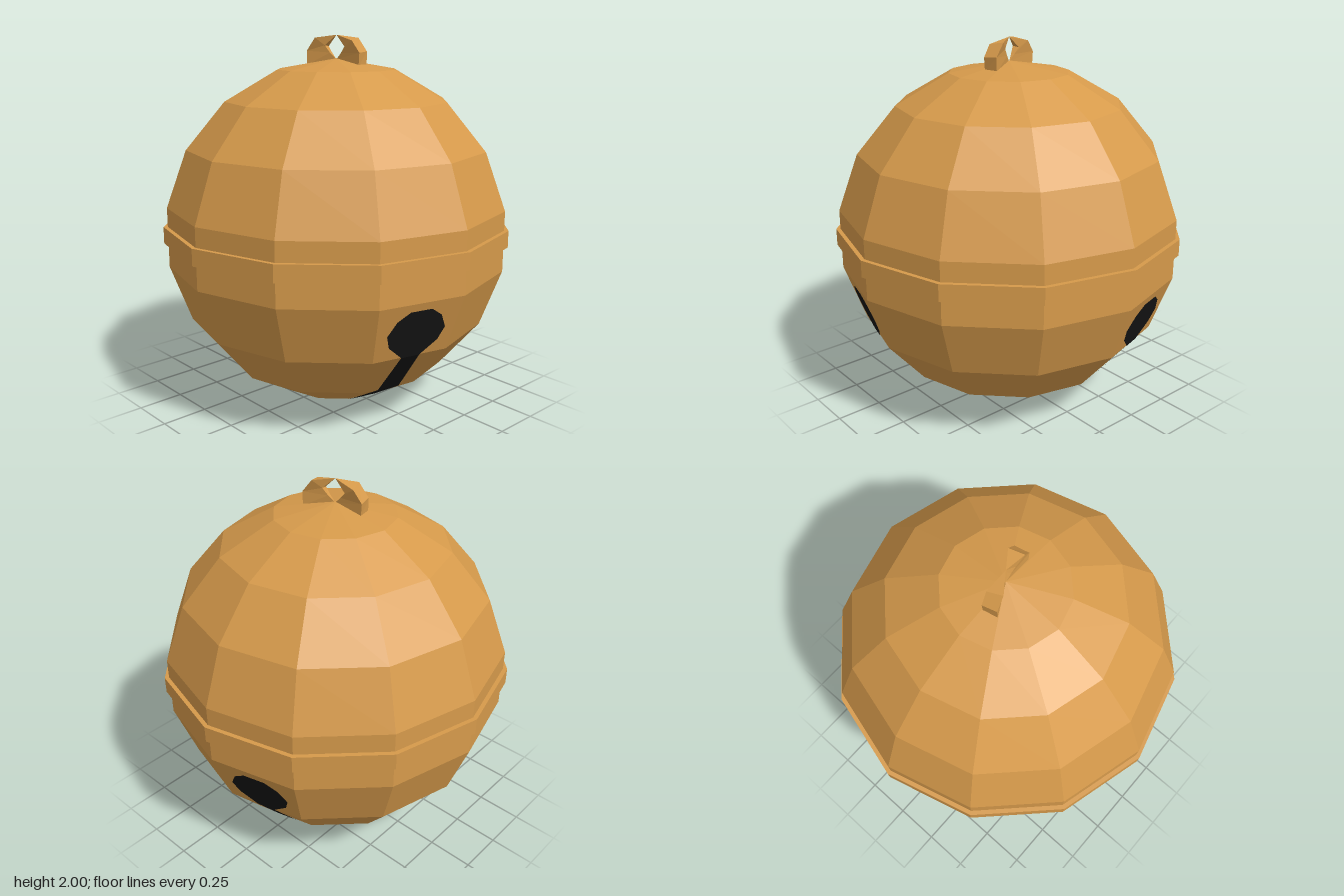
import * as THREE from 'three';

const R = 0.9375, CY = 0.9403, SIDES = 12, RINGS = 9;

// Flat-shaded skin through rows of points; "closed" joins each row's ends.
function skin(rows, closed) {
  const pos = [];
  for (let i = 0; i < rows.length - 1; i++) {
    const n = rows[i].length;
    for (let j = 0; j < (closed ? n : n - 1); j++) {
      const k = (j + 1) % n;
      const a = rows[i][j], b = rows[i][k], c = rows[i + 1][k], d = rows[i + 1][j];
      pos.push(...a, ...b, ...c, ...a, ...c, ...d);
    }
  }
  const g = new THREE.BufferGeometry();
  g.setAttribute('position', new THREE.Float32BufferAttribute(pos, 3));
  g.computeVertexNormals();
  return g;
}

function faceted(geometry) {
  const g = geometry.toNonIndexed();
  g.computeVertexNormals();
  return g;
}

// Height and radius of the k-th body ring counted from the bottom pole, about the centre.
const ring = (k) => {
  const t = (k * Math.PI) / RINGS;
  return [-R * Math.cos(t), R * Math.sin(t)];
};

// Distance from the axis to the middle of a body facet at height y.
function facetDistance(y) {
  let k = 0;
  while (k < RINGS - 1 && ring(k + 1)[0] < y) k++;
  const [y0, r0] = ring(k), [y1, r1] = ring(k + 1);
  return (r0 + ((r1 - r0) * (y - y0)) / (y1 - y0)) * Math.cos(Math.PI / SIDES);
}

export function createModel() {
  const model = new THREE.Group();
  const gold = new THREE.MeshStandardMaterial({ color: 0xd69a4b });
  gold.name = 'gold';
  const black = new THREE.MeshStandardMaterial({ color: 0x151515 });
  black.name = 'black';

  const add = (name, geometry, material) => {
    const mesh = new THREE.Mesh(geometry, material);
    mesh.name = name;
    model.add(mesh);
    return mesh;
  };

  // Round bell body
  add('body', faceted(new THREE.SphereGeometry(R, SIDES, RINGS)), gold).position.y = CY;

  // Raised seam around the middle
  add('seam', faceted(new THREE.CylinderGeometry(0.946, 0.946, 0.09, SIDES)), gold).position.y = 0.955;

  // Keyhole slots: a round end running down a facet column to the bottom pole
  const outline = [
    [0.737 - CY, 0.06], [0.692 - CY, 0.125], [0.617 - CY, 0.164], [0.547 - CY, 0.138],
    [0.484 - CY, 0.065], [ring(3)[0], 0.052], [ring(2)[0], 0.062],
    [ring(1)[0], 0.083], [ring(0)[0], 0],
  ];
  const slotGeometry = skin(outline.map(([y, w]) => {
    const d = facetDistance(y);
    return [[d, y, -w], [d, y, w]];
  }), false);
  for (let i = 0; i < 3; i++) {
    const slot = add('slot', slotGeometry, black);
    slot.position.y = CY;
    slot.scale.setScalar(1.003);
    slot.rotation.y = -(Math.PI / 12 + (i * Math.PI * 2) / 3);
  }

  // Hanging loop: two twisted halves pinched together at top and bottom
  const top = [0, 2, 0], base = [0, 1.872, 0];
  const loopGeometry = skin([
    [top, top, top, top],
    [[0.095, 1.985, -0.07], [0.125, 1.972, 0.006], [0.065, 1.94, 0.003], [0.055, 1.945, -0.035]],
    [[0.15, 1.915, -0.08], [0.17, 1.91, -0.005], [0.035, 1.907, 0], [0.03, 1.907, -0.02]],
    [[0.148, 1.84, -0.08], [0.165, 1.84, -0.005], base, base],
  ], true);
  for (let i = 0; i < 2; i++) add('hangingLoop', loopGeometry, gold).rotation.y = i * Math.PI;

  return model;
}
